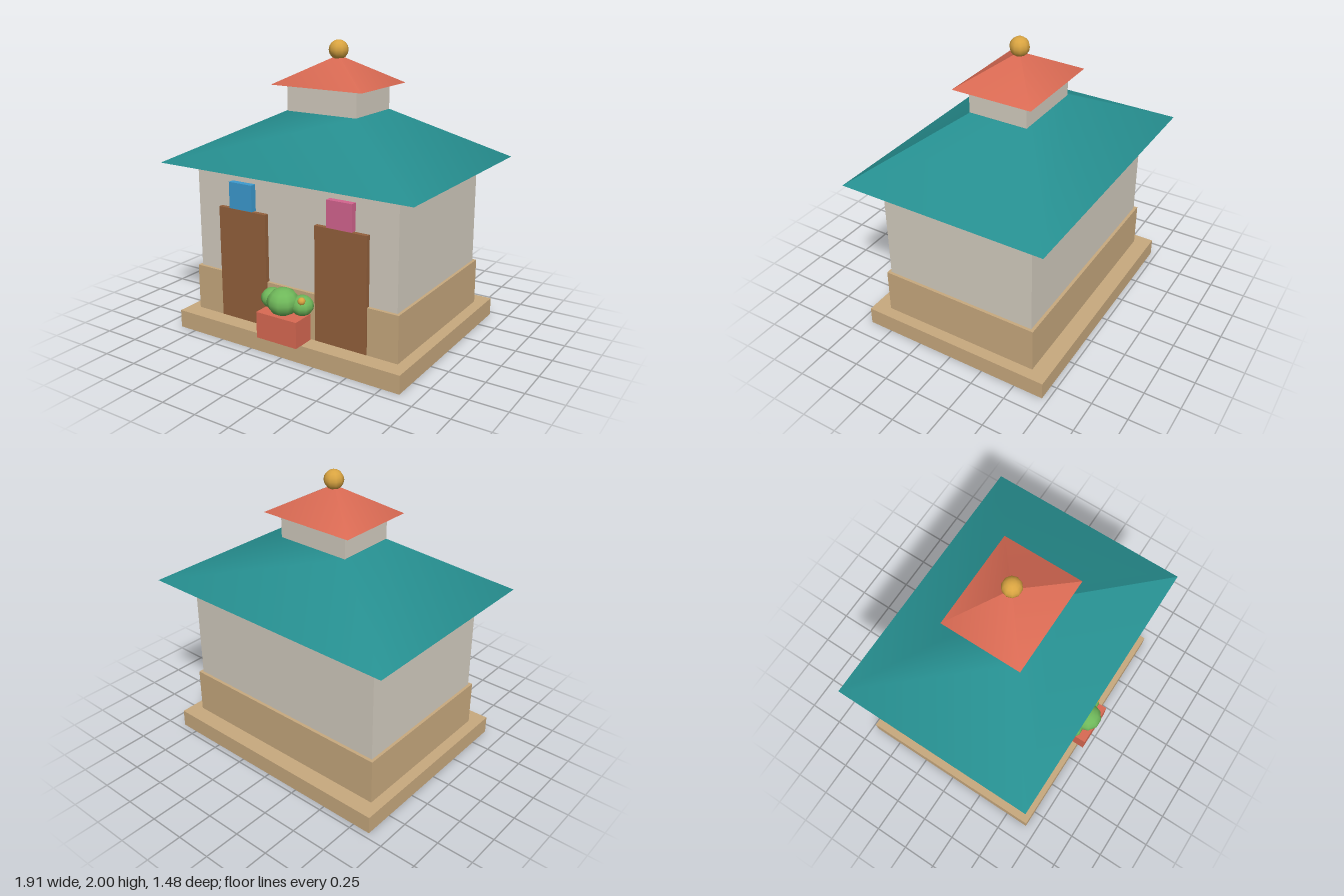
import * as THREE from 'three';

const mat = (name, color) => {
  const m = new THREE.MeshStandardMaterial({ color });
  m.name = name;
  return m;
};

export function createModel() {
  const tan = mat('tan stone', 0xc8a97e);
  const cream = mat('cream plaster', 0xd4cdc0);
  const teal = mat('teal roof', 0x268f90);
  const red = mat('terracotta red', 0xd96a53);
  const brown = mat('brown wood', 0x93603c);
  const blue = mat('blue sign', 0x3c9acf);
  const pink = mat('pink sign', 0xd4648f);
  const green = mat('leaf green', 0x6fb85a);
  const gold = mat('gold', 0xd9a441);

  const model = new THREE.Group();
  model.name = 'pavilion';
  const Z = -0.02; // centre of the building

  const add = (name, geometry, material, x, y, z) => {
    const mesh = new THREE.Mesh(geometry, material);
    mesh.name = name;
    mesh.position.set(x, y, z);
    model.add(mesh);
    return mesh;
  };
  // Box given by its bottom and top heights
  const box = (name, material, x, z, w, d, y0, y1) =>
    add(name, new THREE.BoxGeometry(w, y1 - y0, d), material, x, (y0 + y1) / 2, z);

  // Four-sided hip roof with softly blended slopes; taper = top size / eave size
  const hipRoof = (name, material, halfW, halfD, taper, y0, y1) => {
    const g = new THREE.CylinderGeometry(taper * Math.SQRT2, Math.SQRT2, y1 - y0, 4);
    g.rotateY(Math.PI / 4).scale(halfW, 1, halfD);
    g.computeVertexNormals();
    add(name, g, material, 0, (y0 + y1) / 2, Z);
  };
  const ball = (name, material, r, x, y, z, squash = 1) => {
    const g = new THREE.SphereGeometry(r, 10, 8);
    add(name, g, material, x, y, z).scale.y = squash;
  };

  // Building body
  box('base', tan, 0, Z, 1.75, 1.38, 0, 0.125);
  box('plinth', tan, 0, Z, 1.594, 1.144, 0.125, 0.445);
  box('walls', cream, 0, Z, 1.554, 1.1, 0.445, 1.19);

  // Roofs, lantern and finial
  hipRoof('mainRoof', teal, 0.957, 0.722, 0.287, 1.19, 1.535);
  box('lantern', cream, 0, Z, 0.54, 0.42, 1.53, 1.71);
  hipRoof('lanternRoof', red, 0.35, 0.285, 0, 1.71, 1.9);
  ball('finial', gold, 0.066, 0, 1.935, Z);

  // Doors with a coloured sign above each
  for (const side of [-1, 1]) {
    box(side < 0 ? 'rightDoor' : 'leftDoor', brown, side * 0.385, 0.535, 0.383, 0.054, 0.13, 0.912);
    box(side < 0 ? 'rightSign' : 'leftSign', side < 0 ? blue : pink,
      side * 0.384, 0.547, 0.185, 0.054, 0.918, 1.098);
  }

  // Planter with shrubs and a flower
  box('planter', red, 0, 0.64, 0.314, 0.164, 0.125, 0.305);
  ball('middleShrub', green, 0.107, 0, 0.385, 0.64, 0.86);
  ball('rightShrub', green, 0.077, -0.123, 0.367, 0.59, 0.88);
  ball('leftShrub', green, 0.077, 0.116, 0.367, 0.59, 0.88);
  ball('flower', gold, 0.026, 0.14, 0.415, 0.632);

  return model;
}
